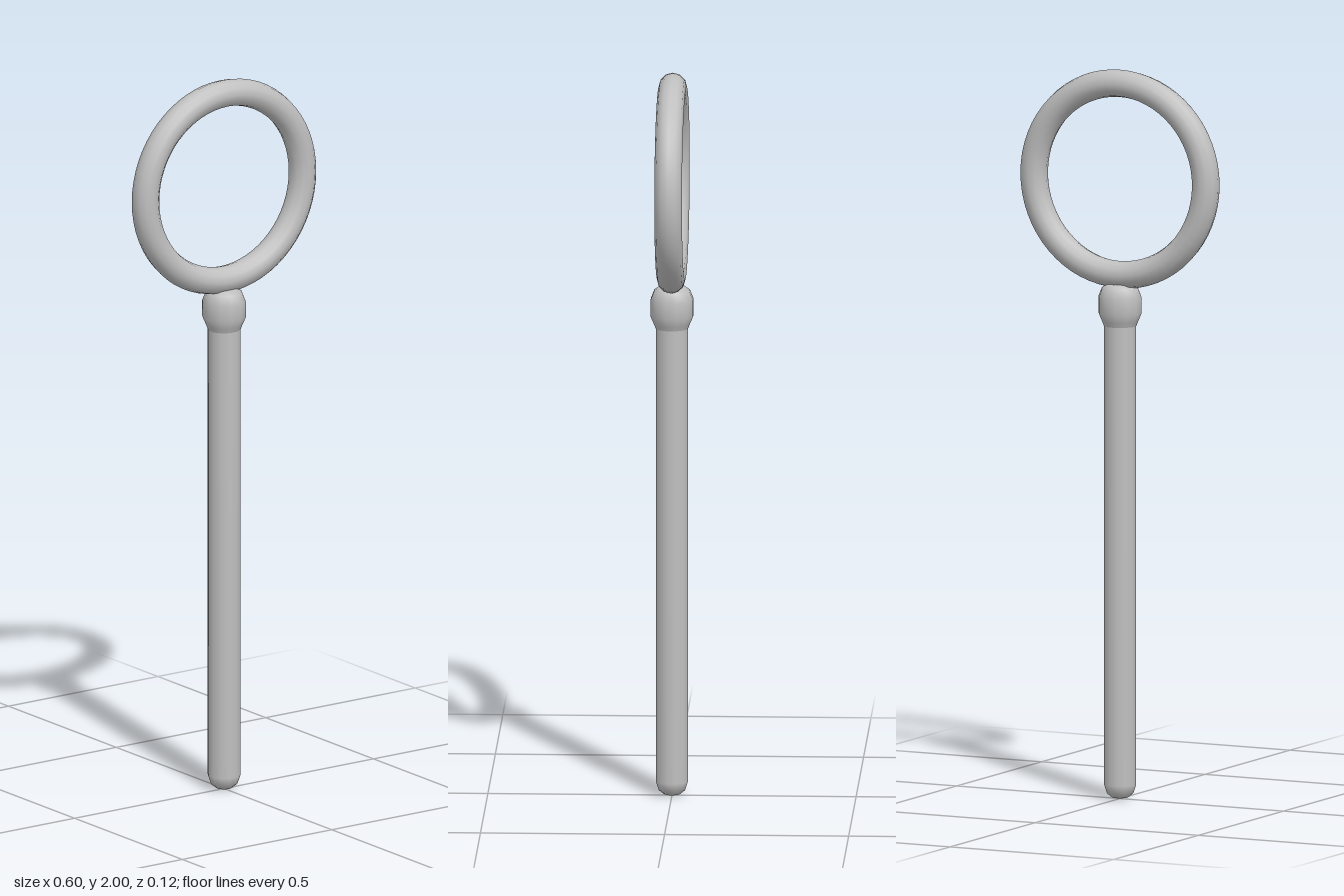
import * as THREE from 'three';

export function createModel() {
  const group = new THREE.Group();
  const metal = new THREE.MeshStandardMaterial({ color: 0xc0c0c0 });
  metal.name = 'light grey metal';

  // Smooth turned part, twelve sides with a flat facing front
  const turned = (name, profile) => {
    const points = profile.map(([r, y]) => new THREE.Vector2(r, y));
    const mesh = new THREE.Mesh(new THREE.LatheGeometry(points, 12, Math.PI / 12), metal);
    mesh.name = name;
    group.add(mesh);
  };

  // Long rod with a rounded foot
  turned('rod', [[0, 0], [0.022, 0.004], [0.037, 0.016], [0.045, 0.04], [0.045, 1.32]]);

  // Bulging collar under the ring
  turned('collar', [[0.044, 1.295], [0.05, 1.31], [0.06, 1.333], [0.06, 1.377],
    [0.05, 1.402], [0.035, 1.413], [0, 1.415]]);

  // Upright round hoop
  const ring = new THREE.Mesh(new THREE.TorusGeometry(0.2625, 0.0375, 12, 64), metal);
  ring.name = 'ring';
  ring.position.y = 1.7;
  group.add(ring);

  return group;
}
